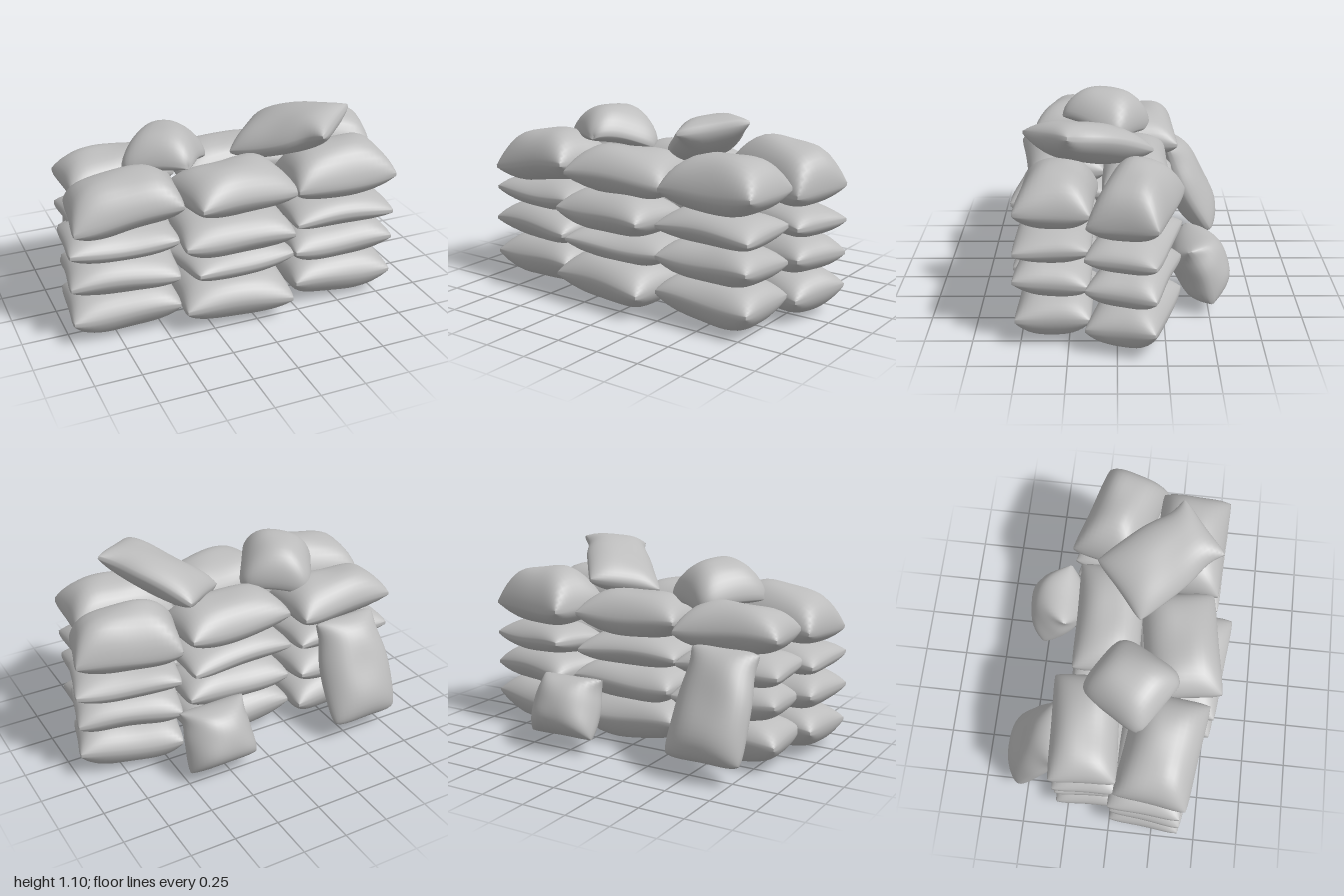
import * as THREE from 'three';
import { mergeVertices } from 'three/addons/utils/BufferGeometryUtils.js';

const cloth = new THREE.MeshStandardMaterial({ color: 0xbcbcbc });
cloth.name = 'grey sackcloth';

// A filled sack lying flat: thin seam all round, rounded corners, soft bulge above and below.
// size = [length, rise above seam, drop below seam, width]
function sackGeometry([length, rise, drop, width], seed, { sag = 0, neck = 0, round = 0.06 } = {}) {
  const geo = new THREE.BoxGeometry(2, 2, 2, 24, 1, 18);
  geo.deleteAttribute('normal');
  geo.deleteAttribute('uv');
  const p = geo.attributes.position;
  for (let i = 0; i < p.count; i++) {
    // crowd the rows toward the seam so the steep edge stays round
    const u = Math.sin(p.getX(i) * Math.PI / 2);
    const v = Math.sin(p.getZ(i) * Math.PI / 2);
    const side = Math.sign(p.getY(i));
    const alongLength = Math.max(0, 1 - Math.abs(u) ** 3.6) ** 0.58;
    const acrossWidth = Math.max(0, 1 - Math.abs(v) ** 2.7) ** 0.68;
    const wrinkle = 1 + 0.05 * Math.sin(4 * u + seed) * Math.cos(3 * v + 2 * seed);
    const taper = 1 - neck * Math.exp(-(((u - 0.65) / 0.4) ** 2));
    const corner = 1 - round * (u * v) ** 4;
    const x = u * length / 2 * (1 - 0.05 * (1 - v * v)) * corner;
    const z = v * width / 2 * (1 - 0.05 * (1 - u * u)) * taper * corner;
    let y = side * (0.008 + alongLength * acrossWidth * wrinkle * (side > 0 ? rise : drop));
    y += 0.012 * Math.sin(2.5 * u + seed) * v - sag * (u * u + v * v) / 2;
    p.setXYZ(i, x, y, z);
  }
  const merged = mergeVertices(geo, 1e-5);
  merged.computeVertexNormals();
  return merged;
}

function sack(name, size, position, rotation, seed, shape) {
  const mesh = new THREE.Mesh(sackGeometry(size, seed, shape), cloth);
  mesh.name = name;
  mesh.position.set(...position);
  mesh.rotation.set(...rotation, 'YZX');
  return mesh;
}

export function createModel() {
  const model = new THREE.Group();
  model.name = 'sandbagWall';

  // Seam height, rise and drop for each course
  const courses = [
    { y: 0.155, rise: 0.11, drop: 0.135 },
    { y: 0.355, rise: 0.1, drop: 0.105 },
    { y: 0.53, rise: 0.085, drop: 0.085 },
    { y: 0.72, rise: 0.175, drop: 0.105 },
  ];
  // The front middle stack alternates thin and fat sacks
  const middleCourses = [
    { y: 0.155, rise: 0.12, drop: 0.13 },
    { y: 0.345, rise: 0.08, drop: 0.095 },
    { y: 0.53, rise: 0.11, drop: 0.11 },
    { y: 0.73, rise: 0.14, drop: 0.11 },
  ];

  // Six stacks: x, z and turn hold one value per course, crown is the rise of the top sack
  const stacks = [
    { name: 'frontRight', l: 0.61, w: 0.42, x: [-0.69, -0.69, -0.69, -0.665],
      z: [0.23, 0.24, 0.22, 0.26], turn: [-0.1, -0.13, -0.09, -0.14], tilt: 0.14, crown: 0.175 },
    { name: 'frontMiddle', l: 0.63, w: 0.43, x: [-0.1, -0.08, -0.1, -0.07],
      z: [0.36, 0.3, 0.36, 0.31], turn: [-0.1, 0.13, -0.1, 0.15], tilt: -0.04, crown: 0.14 },
    { name: 'frontLeft', l: 0.61, w: 0.41, x: [0.53, 0.53, 0.53, 0.54],
      z: [0.32, 0.32, 0.32, 0.31], turn: [-0.04, -0.06, -0.04, -0.05], tilt: 0.06, crown: 0.18 },
    { name: 'backRight', l: 0.62, w: 0.38, x: [-0.59, -0.58, -0.6, -0.59],
      z: [-0.14, -0.15, -0.14, -0.16], turn: [0.03, 0.07, 0.02, 0.06], tilt: 0, crown: 0.135 },
    { name: 'backMiddle', l: 0.65, w: 0.38, x: [0.05, 0.06, 0.04, 0.05],
      z: [-0.1, -0.11, -0.1, -0.1], turn: [0.02, -0.02, 0.03, 0.03], tilt: 0, crown: 0.13 },
    { name: 'backLeft', l: 0.59, w: 0.39, x: [0.67, 0.67, 0.67, 0.66],
      z: [-0.09, -0.09, -0.09, -0.1], turn: [-0.28, -0.27, -0.28, -0.28], tilt: -0.06, crown: 0.21 },
  ];

  stacks.forEach((s, k) => {
    const group = new THREE.Group();
    group.name = s.name + 'Stack';
    (s.name === 'frontMiddle' ? middleCourses : courses).forEach((c, i) => {
      const top = i === 3;
      const tilt = top ? s.tilt : s.tilt * 0.15 - 0.01;
      group.add(sack(`${s.name}Sack${i + 1}`, [s.l, top ? s.crown : c.rise, c.drop, s.w],
        [s.x[i], c.y, s.z[i]], [0, s.turn[i], tilt], k * 1.7 + i * 2.3));
    });
    model.add(group);
  });

  // Loose sacks thrown on top
  model.add(sack('drapedTopSack', [0.45, 0.135, 0.07, 0.42],
    [-0.365, 0.905, 0.055], [0.1, -2.15, 0.17], 3.1, { sag: 0.07, round: 0.18 }));
  model.add(sack('tiltedTopSack', [0.61, 0.09, 0.1, 0.43],
    [0.335, 0.955, 0.155], [0.22, -0.9, 0.32], 5.2, { neck: 0.16 }));

  // Sacks leaning on the back of the wall
  model.add(sack('tallLeaningSack', [0.63, 0.115, 0.115, 0.45],
    [-0.6, 0.38, -0.43], [0, -Math.PI / 2, 1.11], 1.4, { neck: 0.14, round: 0.1 }));
  model.add(sack('shortLeaningSack', [0.35, 0.145, 0.135, 0.42],
    [0.3, 0.24, -0.45], [0, -Math.PI / 2 + 0.04, 1.15], 4.4, { neck: 0.1 }));

  return model;
}
